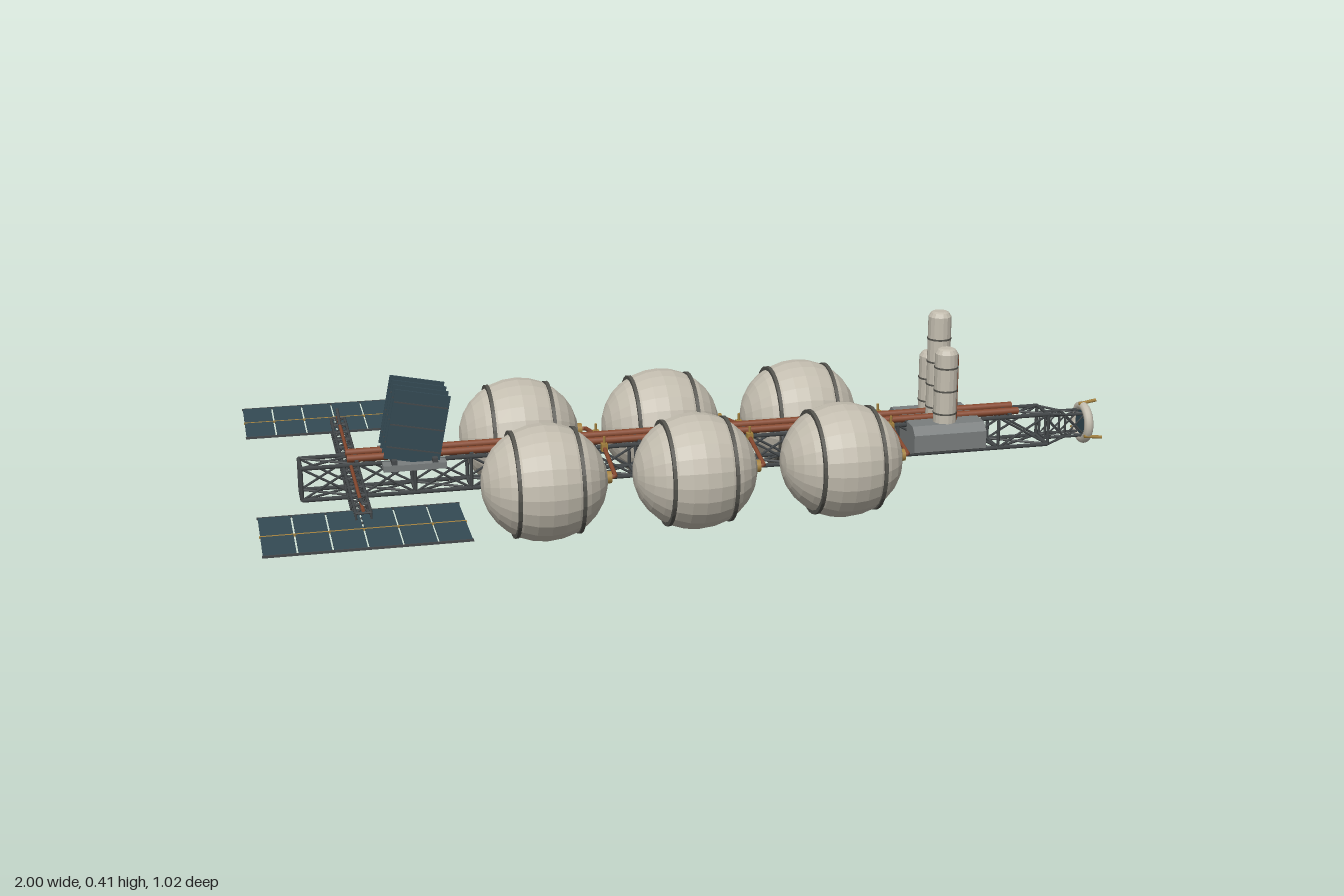
import * as THREE from 'three';
import { mergeGeometries } from 'three/addons/utils/BufferGeometryUtils.js';

const mat = (name, color) => Object.assign(new THREE.MeshStandardMaterial({ color }), { name });
const V = (x, y, z) => new THREE.Vector3(x, y, z);

// Straight rod between two points
function rod(a, b, r, sides = 5) {
  const d = b.clone().sub(a);
  const g = new THREE.CylinderGeometry(r, r, d.length(), sides);
  g.applyQuaternion(new THREE.Quaternion().setFromUnitVectors(V(0, 1, 0), d.normalize()));
  const m = a.clone().add(b).multiplyScalar(0.5);
  return g.translate(m.x, m.y, m.z);
}

function box(w, h, d, x, y, z) {
  return new THREE.BoxGeometry(w, h, d).translate(x, y, z);
}

// Square truss along x: longerons, frames and crossed braces, centred on y = z = 0
function truss(x0, x1, hy, hz, bays, r) {
  const out = [];
  const corners = [[hy, hz], [hy, -hz], [-hy, -hz], [-hy, hz]];
  const step = (x1 - x0) / bays;
  corners.forEach(([y, z], i) => {
    const [y2, z2] = corners[(i + 1) % 4];
    out.push(rod(V(x0, y, z), V(x1, y, z), r * 1.2));
    for (let b = 0; b <= bays; b++) {
      const x = x0 + b * step;
      out.push(rod(V(x, y, z), V(x, y2, z2), r));
      if (b === bays) continue;
      out.push(rod(V(x, y, z), V(x + step, y2, z2), r * 0.7));
      out.push(rod(V(x, y2, z2), V(x + step, y, z), r * 0.7));
    }
  });
  return mergeGeometries(out);
}

// Solid of revolution about the x axis from [x, radius] points
function latheX(pts, sides = 24) {
  return new THREE.LatheGeometry(pts.map(([x, r]) => new THREE.Vector2(r, x)), sides).rotateZ(-Math.PI / 2);
}

function faceted(g) {
  const f = g.toNonIndexed();
  f.computeVertexNormals();
  return f;
}

export function createModel() {
  const M = {
    hull: mat('warm white hull', 0xc3bdaf),
    band: mat('dark band', 0x55544e),
    frame: mat('dark frame', 0x45494b),
    grey: mat('deck grey', 0x7a7e7e),
    rust: mat('rust pipe', 0x87492f),
    panel: mat('blue panel', 0x344a54),
    brass: mat('brass', 0xa5823f),
  };
  const model = new THREE.Group();
  model.name = 'tankerStation';
  const add = (name, geo, m, parent = model) => {
    const mesh = new THREE.Mesh(Array.isArray(geo) ? mergeGeometries(geo) : geo, m);
    mesh.name = name;
    parent.add(mesh);
    return mesh;
  };

  // Spine truss and pipelines
  add('spineTruss', truss(-0.893, 0.863, 0.037, 0.037, 14, 0.0043).translate(0, 0.118, 0), M.frame);
  add('mainPipes', [-1, 1].map(s => rod(V(-0.79, 0.165, s * 0.022), V(0.79, 0.165, s * 0.022), 0.0085, 10)), M.rust);
  const clamps = [];
  for (let i = 0; i < 13; i++) clamps.push(box(0.008, 0.012, 0.075, -0.77 + i * 0.128, 0.157, 0));
  add('pipeClamps', clamps, M.frame);

  // Six storage tanks with bands, feed lines and mounts
  const profile = [];
  for (let i = 0; i <= 14; i++) {
    const t = Math.PI * i / 14;
    profile.push([-0.14 * Math.cos(t), Math.max(0, 0.131 * Math.sin(t))]);
  }
  const tankGeo = faceted(latheX(profile));
  const bandGeo = faceted(latheX([[-0.004, 0.108], [-0.004, 0.119], [0.004, 0.119], [0.004, 0.108]], 32));
  for (const cx of [-0.375, -0.035, 0.305]) for (const s of [-1, 1]) {
    const tank = new THREE.Group();
    tank.name = 'storageTank';
    model.add(tank);
    const z = s * 0.18, y = 0.131;
    add('tankShell', tankGeo, M.hull, tank).position.set(cx, y, z);
    for (const dx of [-0.07, 0.07]) add('tankBand', bandGeo, M.band, tank).position.set(cx + dx, y, z);
    add('tankFitting', rod(V(cx + 0.134, y, z), V(cx + 0.15, y, z), 0.014, 12), M.brass, tank);
    const line = new THREE.CurvePath();
    const p = [V(cx + 0.14, y, z), V(cx + 0.16, y, z), V(cx + 0.16, 0.162, s * 0.022)];
    for (let i = 0; i < 2; i++) line.add(new THREE.LineCurve3(p[i], p[i + 1]));
    add('feedLine', new THREE.TubeGeometry(line, 24, 0.005, 8), M.rust, tank);
    add('feedValve', [box(0.014, 0.018, 0.014, cx + 0.16, 0.158, s * 0.05),
      rod(V(cx + 0.16, 0.16, s * 0.05), V(cx + 0.16, 0.183, s * 0.05), 0.003, 6)
    ], M.brass, tank);
    const mounts = [];
    for (const dx of [-0.07, 0.07]) for (const ty of [0.081, 0.155])
      mounts.push(rod(V(cx + dx, ty, s * 0.037), V(cx + dx, y, s * 0.075), 0.004, 6));
    add('tankMount', mounts, M.frame, tank);
  }

  // Chamfered equipment deck
  const outline = [[-0.098, 0.145], [-0.08, 0.163], [0.08, 0.163], [0.098, 0.145], [0.098, 0.104], [0.05, 0.085], [-0.05, 0.085], [-0.098, 0.104]];
  const deckShape = new THREE.Shape(outline.map(([a, b]) => new THREE.Vector2(a, b)));
  add('equipmentDeck', new THREE.ExtrudeGeometry(deckShape, { depth: 0.176, bevelEnabled: false })
    .rotateY(Math.PI / 2).translate(0.508, 0, 0), M.grey);

  // Process columns with bands, the outer two with risers
  for (const [z, top, riser] of [[0.054, 0.34, M.rust], [0, 0.415, null], [-0.054, 0.305, M.brass]]) {
    const col = new THREE.Group();
    col.name = 'processColumn';
    model.add(col);
    const pts = [[0.027, 0.16], [0.027, top - 0.012], [0.021, top - 0.003], [0.015, top], [0, top]];
    add('columnShell', faceted(new THREE.LatheGeometry(pts.map(q => new THREE.Vector2(...q)), 16)), M.hull, col)
      .position.set(0.595, 0, z);
    const bands = [];
    for (let y = 0.185; y < top - 0.01; y += 0.055)
      bands.push(new THREE.CylinderGeometry(0.0282, 0.0282, 0.004, 16).translate(0.595, y, z));
    add('columnBands', bands, M.band, col);
    if (riser) add('columnRiser', rod(V(0.6225, 0.163, z), V(0.6225, top - 0.018, z), 0.003, 6), riser, col);
  }

  // Docking port: neck truss, rounded collar, hatch and guide prongs
  add('dockNeck', truss(0.863, 0.965, 0.027, 0.018, 2, 0.003).translate(0, 0.117, 0), M.frame);
  const braces = [];
  for (const a of [-1, 1]) for (const b of [-1, 1])
    braces.push(rod(V(0.863, 0.117 + a * 0.037, b * 0.037), V(0.914, 0.117 + a * 0.027, b * 0.018), 0.003));
  add('neckBraces', braces, M.frame);
  add('dockCollar', new THREE.TorusGeometry(0.04, 0.011, 10, 24).rotateY(Math.PI / 2).translate(0.966, 0.117, 0), M.hull);
  add('dockHatch', rod(V(0.962, 0.117, 0), V(0.972, 0.117, 0), 0.033, 20), M.panel);
  const prongs = [];
  for (let i = 0; i < 3; i++) {
    const t = -Math.PI / 6 + i * Math.PI * 2 / 3, c = Math.cos(t), n = Math.sin(t);
    prongs.push(rod(V(0.955, 0.117 + n * 0.046, c * 0.046), V(0.998, 0.117 + n * 0.053, c * 0.053), 0.004, 6));
  }
  add('guideProngs', prongs, M.brass);

  // Cross boom carrying the solar wings
  add('crossBoom', truss(-0.34, 0.34, 0.016, 0.016, 12, 0.0027).rotateY(Math.PI / 2).translate(-0.783, 0.133, 0), M.frame);
  add('boomCable', rod(V(-0.783, 0.153, -0.335), V(-0.783, 0.153, 0.335), 0.004, 6), M.rust);
  for (const s of [-1, 1]) {
    add('boomStrut', rod(V(-0.783, 0.17, s * 0.34), V(-0.783, 0.15, s * 0.25), 0.004, 6), M.frame);
    const wing = new THREE.Group();
    wing.name = 'solarWing';
    model.add(wing);
    const cells = [], w = 0.425 / 6;
    for (let i = 0; i < 6; i++) for (const r of [-1, 1])
      cells.push(box(w - 0.004, 0.004, 0.111, -1 + w * (i + 0.5), 0.133, s * 0.395 + r * 0.0585));
    add('solarCells', cells, M.panel, wing);
    add('wingSpar', box(0.425, 0.004, 0.006, -0.7875, 0.133, s * 0.395), M.brass, wing);
    add('wingRails', [-1, 1].map(r => box(0.425, 0.005, 0.003, -0.7875, 0.133, s * 0.395 + r * 0.114)), M.frame, wing);
  }

  // Radiator stack: leaning parallel plates on a base frame
  add('radiatorBase', [-1, 1].map(s => box(0.14, 0.014, 0.035, -0.645, 0.152, s * 0.06)), M.grey);
  add('radiatorRails', [-0.69, -0.6].map(x => box(0.012, 0.014, 0.15, x, 0.162, 0)), M.frame);
  for (const z of [-0.057, -0.019, 0.019, 0.057]) {
    const fin = new THREE.Group();
    fin.name = 'radiatorFin';
    fin.position.set(-0.636, 0.238, z);
    fin.rotation.z = -0.2;
    model.add(fin);
    add('finPlate', box(0.124, 0.16, 0.005, 0, 0, 0), M.panel, fin);
    add('finTubes', [-0.052, 0, 0.052].map(y => box(0.12, 0.003, 0.008, 0, y, 0)), M.frame, fin);
  }
  return model;
}
